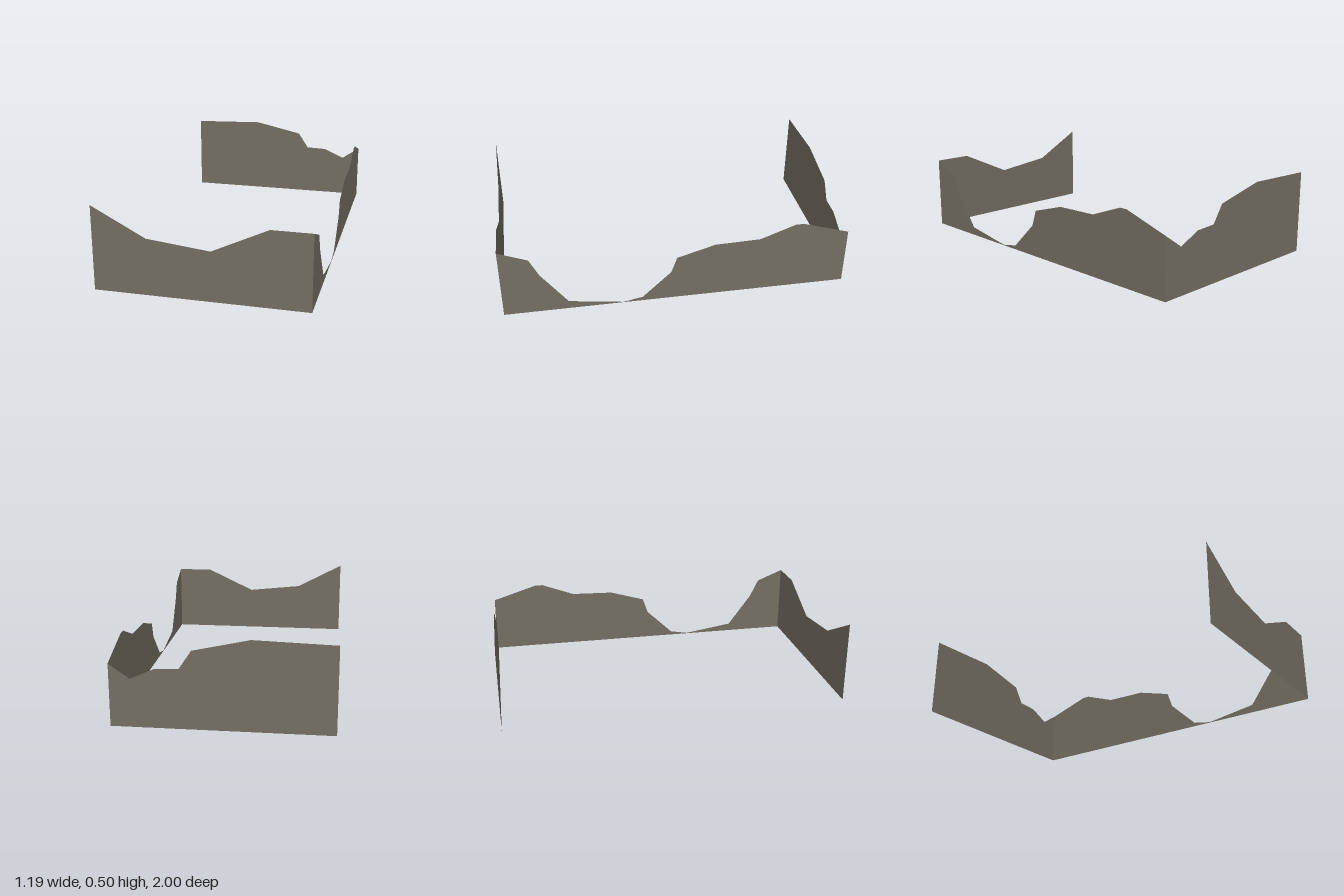
import * as THREE from 'three';

const HALF_WIDTH = 0.593;
const HALF_LENGTH = 1;

// Flat sheet standing on y = 0, cut along the given ridge line (left to right)
function ridgeSheet(name, ridge, material) {
  const first = ridge[0][0];
  const last = ridge[ridge.length - 1][0];
  const outline = [[first, 0], [last, 0], ...[...ridge].reverse()];
  const shape = new THREE.Shape(outline.map(([u, v]) => new THREE.Vector2(u, v)));
  const mesh = new THREE.Mesh(new THREE.ShapeGeometry(shape), material);
  mesh.name = name;
  return mesh;
}

export function createModel() {
  const group = new THREE.Group();
  group.name = 'mountainBackdrop';

  const stone = new THREE.MeshStandardMaterial({ color: 0x746f63, side: THREE.DoubleSide });
  stone.name = 'stone grey';

  // Front sheet: a shallow dip between two rises
  const front = ridgeSheet('frontRidge', [
    [-HALF_WIDTH, 0.482], [-0.29, 0.322], [0.06, 0.284], [0.37, 0.43], [HALF_WIDTH, 0.43],
  ], stone);
  front.position.z = HALF_LENGTH;

  // Back sheet: a broad hill with a small notch towards +x
  const back = ridgeSheet('backRidge', [
    [-HALF_WIDTH, 0.483], [-0.15, 0.497], [0.155, 0.43], [0.222, 0.33],
    [0.35, 0.325], [0.48, 0.267], [HALF_WIDTH, 0.345],
  ], stone);
  back.position.z = -HALF_LENGTH;

  // Side sheet on +x: a valley down to the ground; u runs from front to back
  const side = ridgeSheet('sideRidge', [
    [-HALF_LENGTH, 0.43], [-0.834, 0.363], [-0.78, 0.252], [-0.63, 0.05], [-0.32, 0.003],
    [-0.206, 0.024], [-0.038, 0.184], [-0.005, 0.28], [0.214, 0.345], [0.476, 0.353],
    [0.68, 0.43], [0.727, 0.43], [HALF_LENGTH, 0.345],
  ], stone);
  side.rotation.y = Math.PI / 2;
  side.position.x = HALF_WIDTH;

  group.add(front, back, side);
  return group;
}
